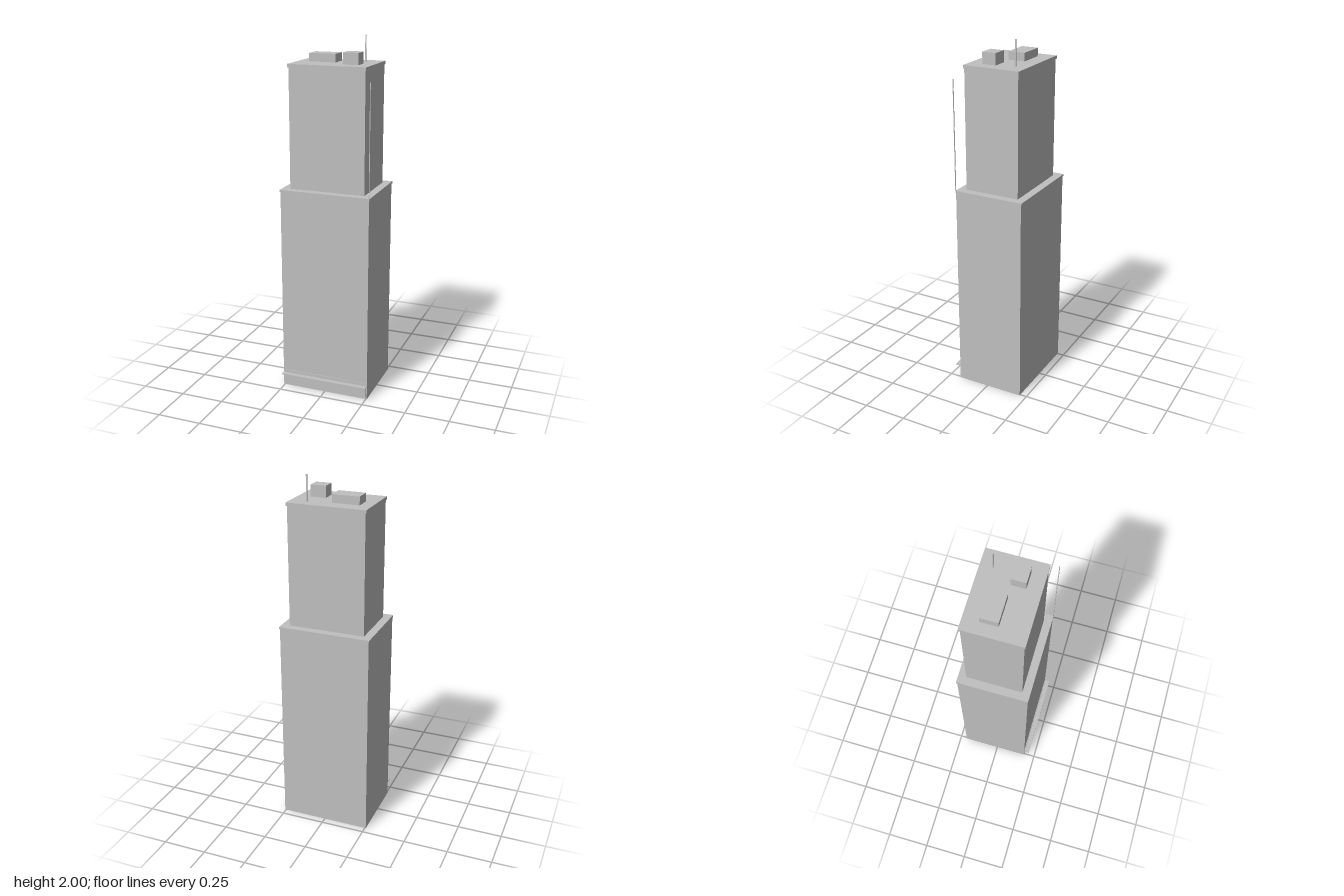
import * as THREE from 'three';

export function createModel() {
  const group = new THREE.Group();
  const concrete = new THREE.MeshStandardMaterial({ color: 0xc0c0c0 });
  concrete.name = 'concrete grey';

  // Box given by its limits along each axis
  const block = (name, [x0, x1], [y0, y1], [z0, z1]) => {
    const mesh = new THREE.Mesh(new THREE.BoxGeometry(x1 - x0, y1 - y0, z1 - z0), concrete);
    mesh.name = name;
    mesh.position.set((x0 + x1) / 2, (y0 + y1) / 2, (z0 + z1) / 2);
    group.add(mesh);
  };

  // Tower volumes, each with a slightly overhanging slab
  block('lowerTower', [-0.256, 0.256], [0, 1.168], [-0.211, 0.183]);
  block('setbackLedge', [-0.26, 0.26], [1.168, 1.18], [-0.216, 0.185]);
  block('upperTower', [-0.215, 0.215], [1.18, 1.842], [-0.171, 0.141]);
  block('roofSlab', [-0.22, 0.22], [1.842, 1.86], [-0.176, 0.146]);

  // Roof equipment
  block('plantRoom', [-0.155, -0.003], [1.86, 1.905], [-0.094, 0]);
  block('stairHouse', [0.065, 0.152], [1.86, 1.923], [-0.008, 0.07]);
  block('antenna', [0.126, 0.132], [1.86, 2], [-0.113, -0.107]);

  // Street front and canopy
  block('shopfront', [-0.248, 0.248], [0.012, 0.098], [0.183, 0.187]);
  block('canopy', [-0.256, 0.256], [0.077, 0.082], [0.183, 0.214]);

  // Slender pole on the front corner
  block('cornerPole', [0.255, 0.259], [1.18, 1.79], [0.182, 0.186]);

  return group;
}
